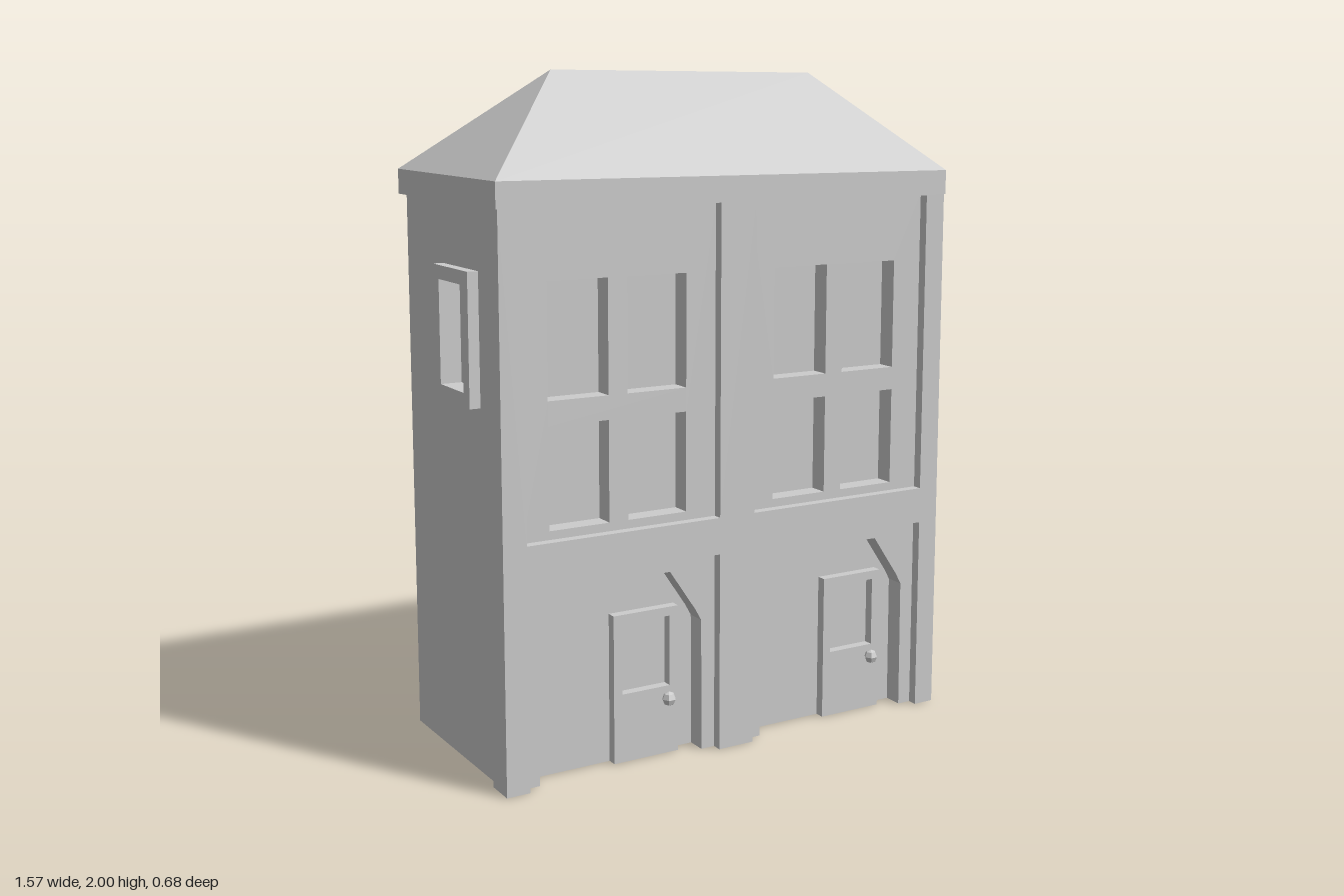
import * as THREE from 'three';

export function createModel() {
  const model = new THREE.Group();
  model.name = 'townhouse';
  const material = new THREE.MeshStandardMaterial({ color: 0xcccccc, flatShading: true, side: THREE.DoubleSide });

  // The whole building leans very slightly: x and y drift with depth.
  const lean = new THREE.Matrix4().set(
    1, 0, -0.03, 0,
    0, 1, -0.018, 0.006,
    0, 0, 1, 0,
    0, 0, 0, 1);

  function add(name, geometry, parent = model) {
    geometry.applyMatrix4(lean);
    const mesh = new THREE.Mesh(geometry, material);
    mesh.name = name;
    parent.add(mesh);
  }

  const points = list => list.map(([x, y]) => new THREE.Vector2(x, y));
  const rect = (x0, x1, y0, y1) => [[x0, y0], [x1, y0], [x1, y1], [x0, y1]];

  function shapeOf(outline, holes = []) {
    const shape = new THREE.Shape(points(outline));
    shape.holes = holes.map(h => new THREE.Path(points(h)));
    return shape;
  }

  // Flat slab from z0 to z1
  function slab(outline, holes, z0, z1) {
    return new THREE.ExtrudeGeometry(shapeOf(outline, holes), { depth: z1 - z0, bevelEnabled: false })
      .translate(0, 0, z0);
  }

  const wallZ = 0.25, panelZ = 0.31, frontZ = 0.34, backZ = -0.335;
  const wallX = 0.747, eaveY = 1.63;
  const bays = [-0.375, 0.38], half = 0.317;

  // Hollow body, open underneath; the left-hand face in front view is cut separately
  const body = new THREE.BoxGeometry(2 * wallX, eaveY, wallZ - backZ)
    .translate(0, eaveY / 2, (wallZ + backZ) / 2);
  const index = Array.from(body.index.array);
  body.setIndex(index.filter((_, i) => !(i >= 6 && i < 12) && !(i >= 18 && i < 24)));
  body.clearGroups();
  add('walls', body);

  // Side wall with its framed window (drawn with z as the horizontal axis)
  const toSide = g => g.rotateY(-Math.PI / 2);
  const pane = rect(-0.03, 0.13, 1.11, 1.41);
  add('sideWall', toSide(new THREE.ShapeGeometry(shapeOf(rect(backZ, wallZ, 0, eaveY), [pane]))).translate(-wallX, 0, 0));
  add('sideWindowFrame', toSide(slab(rect(-0.07, 0.17, 1.07, 1.45), [pane], 0.715, 0.78)));
  add('sideWindowPane', toSide(new THREE.ShapeGeometry(shapeOf(pane))).translate(-0.715, 0, 0));

  // Front frame: pilasters and cross beam, open at the foot of each bay
  const outline = [[-0.765, 0]];
  for (const c of bays) outline.push([c - half, 0], [c - half, 0.6], [c + half, 0.6], [c + half, 0]);
  outline.push([0.765, 0], [0.765, eaveY], [-0.765, eaveY]);
  add('frontFrame', slab(outline, bays.map(c => rect(c - half, c + half, 0.71, eaveY - 0.003)), wallZ, frontZ));

  for (const c of bays) {
    const bay = new THREE.Group();
    bay.name = c < 0 ? 'rightBay' : 'leftBay';
    model.add(bay);

    // Upper panel with four window openings
    const windows = [];
    for (const [x0, x1] of [[-0.232, -0.04], [0.022, 0.217]])
      for (const [y0, y1] of [[0.735, 1.03], [1.1, 1.43]]) windows.push(rect(x0, x1, y0, y1));
    add('windowPanel', slab(rect(-half, half, 0.71, eaveY), windows, wallZ, panelZ).translate(c, 0, 0), bay);

    // Faceted archway
    const arch = [[-half, 0], [-0.272, 0], [-0.27, 0.4], [-0.25, 0.435], [-0.162, 0.562],
      [0.162, 0.562], [0.25, 0.435], [0.27, 0.4], [0.272, 0], [half, 0], [half, 0.6], [-half, 0.6]];
    add('archway', slab(arch, [], wallZ, panelZ).translate(c, 0, 0), bay);

    // Door with a sunken light and a knob
    add('door', slab(rect(-0.012, 0.207, 0, 0.447), [rect(0.016, 0.178, 0.207, 0.42)], wallZ, 0.28).translate(c, 0, 0), bay);
    add('doorKnob', new THREE.SphereGeometry(0.022, 6, 4).translate(c + 0.167, 0.172, 0.295), bay);
  }

  // Eaves band
  add('eaves', new THREE.BoxGeometry(1.54, 0.073, 0.682).translate(0, eaveY + 0.0365, 0));

  // Hipped roof: four eave corners and two ridge ends
  const roof = new THREE.BufferGeometry();
  const y = 1.703, r = 1.994;
  roof.setAttribute('position', new THREE.Float32BufferAttribute([
    -0.77, y, 0.341, 0.77, y, 0.341, 0.77, y, -0.341, -0.77, y, -0.341,
    -0.43, r, 0, 0.48, r, 0], 3));
  roof.setIndex([0, 1, 5, 0, 5, 4, 1, 2, 5, 2, 3, 4, 2, 4, 5, 3, 0, 4]);
  const flatRoof = roof.toNonIndexed();
  flatRoof.computeVertexNormals();
  add('roof', flatRoof);

  return model;
}
